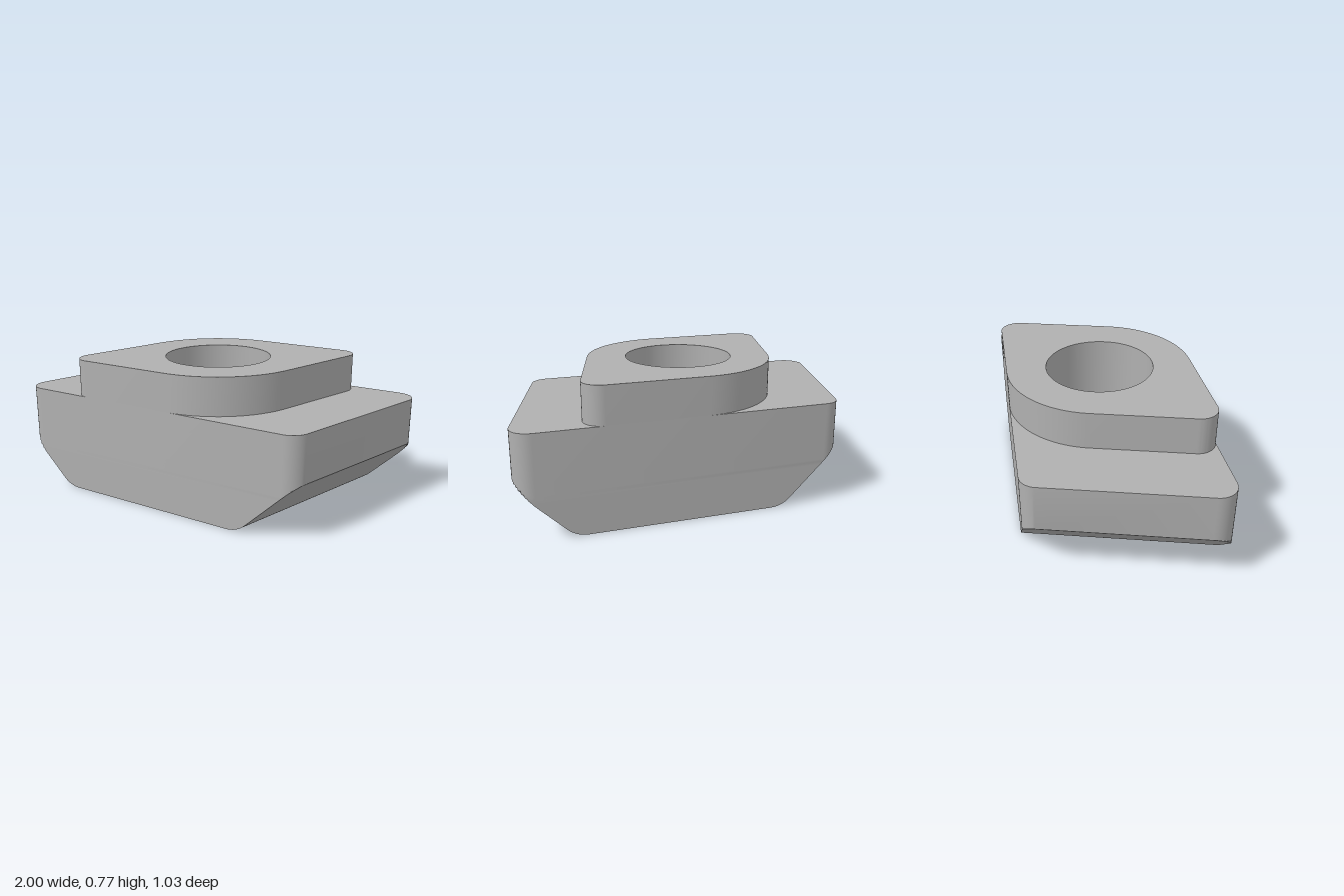
import * as THREE from 'three';
import { toCreasedNormals } from 'three/addons/utils/BufferGeometryUtils.js';

const SLANT = Math.PI / 12;              // lean of the two end faces
const T = Math.tan(SLANT), C = Math.cos(SLANT);
const DEPTH = 0.513;                     // half depth in z
const BODY_C = 0.893, BOSS_C = DEPTH / C; // half widths along x at z = 0
const SHOULDER = 0.568, TOP = 0.775;     // heights of the two upper faces
const BEVEL_Y = 0.31, FILLET = 0.15;     // end bevel start and its lower rounding
const HOLE = 0.297;

// Rounded parallelogram as [x, z] points; the second half mirrors the first through the centre
function outline(c, rAcute, rObtuse, steps) {
  const half = [];
  const corner = (sign, r, from, to) => {
    const cx = c - sign * T * (DEPTH - r) - r / C, cz = sign * (DEPTH - r);
    for (let i = 0; i <= steps; i++) {
      const a = from + (to - from) * i / steps;
      half.push([cx + r * Math.cos(a), cz + r * Math.sin(a)]);
    }
  };
  corner(-1, rAcute, -Math.PI / 2, SLANT);
  corner(1, rObtuse, SLANT, Math.PI / 2);
  return [...half, ...half.map(([x, z]) => [-x, -z])];
}

// Skin between stacked rings, each { y, pts }
function loft(rings) {
  const pos = [];
  const n = rings[0].pts.length;
  for (let j = 0; j < rings.length - 1; j++) {
    const at = (k, i) => [rings[k].pts[i % n][0], rings[k].y, rings[k].pts[i % n][1]];
    for (let i = 0; i < n; i++) {
      const a = at(j, i), b = at(j, i + 1), c = at(j + 1, i), d = at(j + 1, i + 1);
      pos.push(...a, ...c, ...b, ...b, ...c, ...d);
    }
  }
  const g = new THREE.BufferGeometry();
  g.setAttribute('position', new THREE.Float32BufferAttribute(pos, 3));
  return toCreasedNormals(g, 0.5);
}

// Flat face with the bolt hole cut out, facing up (1) or down (-1)
function cap(pts, hole, y, facing) {
  const flat = list => list.map(([x, z]) => new THREE.Vector2(x, -facing * z));
  const shape = new THREE.Shape(flat(pts));
  shape.holes.push(new THREE.Path(flat(hole)));
  return new THREE.ShapeGeometry(shape).rotateX(-facing * Math.PI / 2).translate(0, y, 0);
}

export function createModel() {
  const group = new THREE.Group();
  const steel = new THREE.MeshStandardMaterial({ color: 0xb0b0b0 });
  steel.name = 'steel grey';
  const add = (name, geometry) => {
    const mesh = new THREE.Mesh(geometry, steel);
    mesh.name = name;
    group.add(mesh);
  };

  const body = outline(BODY_C, 0.1, 0.1, 10);
  const boss = outline(BOSS_C, 0.1, DEPTH, 24);
  const hole = Array.from({ length: 64 }, (_, i) => {
    const a = i / 64 * Math.PI * 2;
    return [HOLE * Math.cos(a), HOLE * Math.sin(a)];
  });

  // Clip the body outline to a half width w, parallel to the slanted ends
  const clip = w => body.map(([x, z]) => [THREE.MathUtils.clamp(x + z * T, -w, w) - z * T, z]);

  // Rounded lower edge of the end bevels
  const rings = [];
  const filletS = BODY_C * C - BEVEL_Y - FILLET * Math.tan(Math.PI / 8);
  for (let i = 0; i <= 8; i++) {
    const a = i / 8 * Math.PI / 4;
    rings.push({ y: FILLET * (1 - Math.cos(a)), pts: clip((filletS + FILLET * Math.sin(a)) / C) });
  }
  // 45 degree bevels, with a ring wherever they meet a point of the rounded corners
  const bevelWidths = body.slice(0, body.length / 2).map(([x, z]) => x + z * T).sort((a, b) => a - b);
  let lastY = rings[8].y;
  for (const w of bevelWidths) {
    const y = BEVEL_Y - (BODY_C - w) * C;
    if (y > lastY + 0.001 && y < BEVEL_Y - 0.0005) {
      rings.push({ y, pts: clip(w) });
      lastY = y;
    }
  }
  // Upright upper sides
  rings.push({ y: BEVEL_Y, pts: body }, { y: SHOULDER, pts: body });

  add('bodySides', loft(rings));
  add('bodyBottom', cap(rings[0].pts, hole, 0, -1));
  add('bodyShoulder', cap(body, hole, SHOULDER, 1));

  // Raised boss with two fully rounded corners
  add('bossSides', loft([{ y: SHOULDER, pts: boss }, { y: TOP, pts: boss }]));
  add('bossTop', cap(boss, hole, TOP, 1));

  // Inward-facing wall of the through hole
  const inner = hole.slice().reverse();
  add('holeWall', loft([{ y: 0, pts: inner }, { y: TOP, pts: inner }]));
  return group;
}
